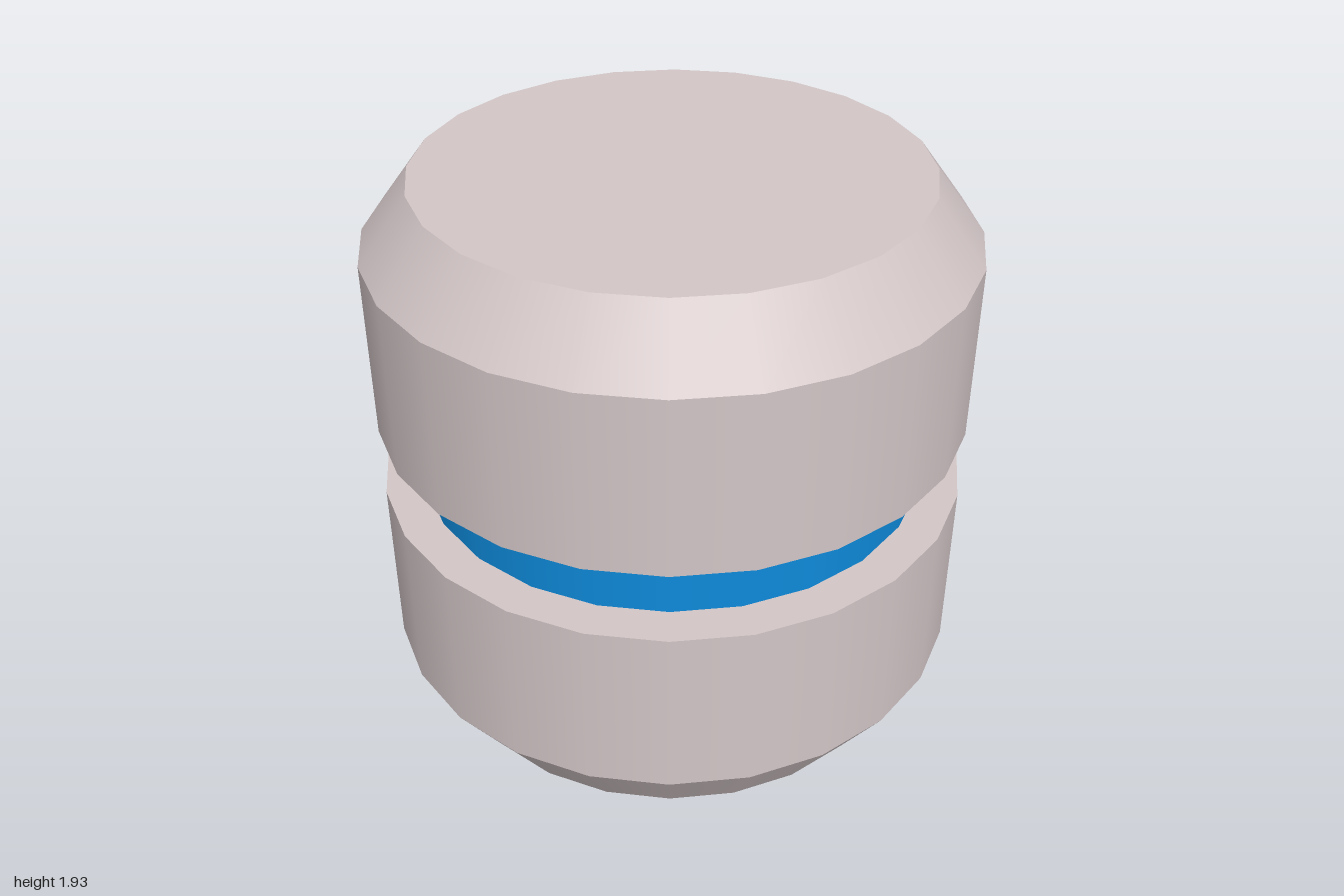
import * as THREE from 'three';

const SIDES = 24;
const RIM = 1, CAP = 0.835, BAND = 0.865;

export function createModel() {
  const model = new THREE.Group();
  model.name = 'groovedDrum';

  const shell = new THREE.MeshStandardMaterial({ color: 0xd3c6c7 });
  shell.name = 'pale warm grey';
  const blue = new THREE.MeshStandardMaterial({ color: 0x0e8ada });
  blue.name = 'bright blue';

  const add = (name, geometry, material, parent) => {
    const mesh = new THREE.Mesh(geometry, material);
    mesh.name = name;
    parent.add(mesh);
  };

  // Open wall between two heights, smooth around its circumference
  const wall = (y0, y1, r0, r1) =>
    new THREE.CylinderGeometry(r1, r0, y1 - y0, SIDES, 1, true).translate(0, (y0 + y1) / 2, 0);

  // Flat disc or ring facing up (+1) or down (-1)
  const flat = (geometry, y, facing) =>
    geometry.rotateX(-facing * Math.PI / 2).translate(0, y, 0);

  // Each half: flat end, bevel, straight wall and ledge beside the groove
  const halves = [
    { name: 'lower', end: 0, shoulder: 0.245, groove: 0.855, facing: -1 },
    { name: 'upper', end: 1.935, shoulder: 1.715, groove: 1.105, facing: 1 },
  ];
  for (const { name, end, shoulder, groove, facing } of halves) {
    const half = new THREE.Group();
    half.name = name + 'Half';
    model.add(half);
    const up = facing > 0;
    add(name + 'Cap', flat(new THREE.CircleGeometry(CAP, SIDES), end, facing), shell, half);
    add(name + 'Bevel', up ? wall(shoulder, end, RIM, CAP) : wall(end, shoulder, CAP, RIM), shell, half);
    add(name + 'Wall', up ? wall(groove, shoulder, RIM, RIM) : wall(shoulder, groove, RIM, RIM), shell, half);
    add(name + 'Ledge', flat(new THREE.RingGeometry(BAND, RIM, SIDES), groove, -facing), shell, half);
  }

  // Recessed coloured band in the groove
  add('grooveBand', wall(0.855, 1.105, BAND, BAND), blue, model);

  return model;
}
